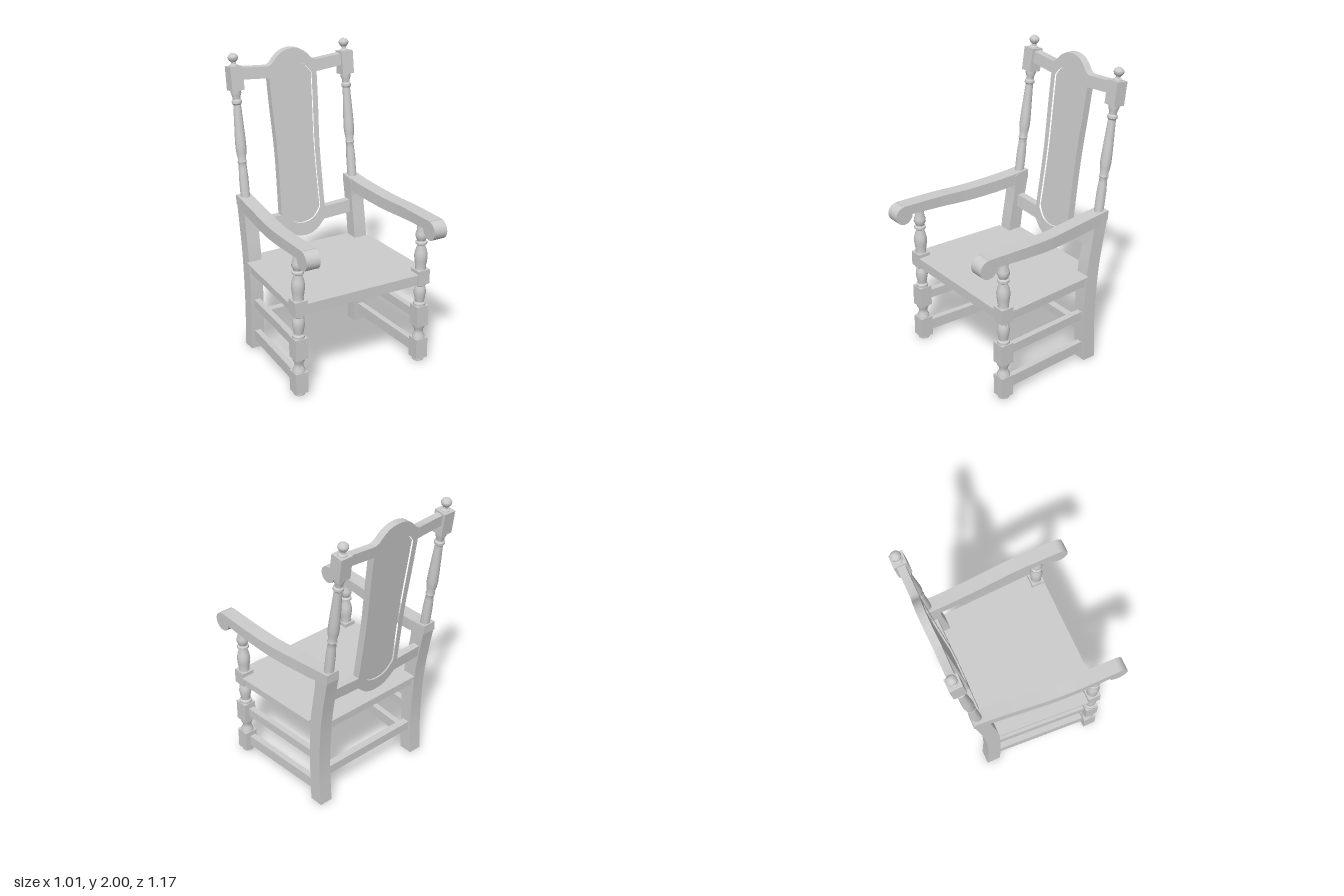
import * as THREE from 'three';
import { toCreasedNormals } from 'three/addons/utils/BufferGeometryUtils.js';

const LEAN = 0.135; // backward slope of the backrest

export function createModel() {
  const chair = new THREE.Group();
  chair.name = 'armchair';
  const material = new THREE.MeshStandardMaterial({ color: 0xcccccc });

  const add = (name, geometry, x = 0, y = 0, z = 0, parent = chair) => {
    const mesh = new THREE.Mesh(toCreasedNormals(geometry, 0.6), material);
    mesh.name = name;
    mesh.position.set(x, y, z);
    parent.add(mesh);
    return mesh;
  };
  const v2 = (list) => list.map(([x, y]) => new THREE.Vector2(x, y));
  const smooth = (list, n = 10) => new THREE.SplineCurve(v2(list)).getPoints(n);
  const lathe = (list) => new THREE.LatheGeometry(v2(list), 20);
  const mirrored = (half) => [...half, ...half.slice(1, -1).reverse().map((p) => new THREE.Vector2(-p.x, p.y))];
  const extrude = (shape, depth) =>
    new THREE.ExtrudeGeometry(shape, { depth, bevelEnabled: false }).translate(0, 0, -depth / 2);
  const moveVertices = (geometry, rule) => {
    const p = geometry.attributes.position;
    const v = new THREE.Vector3();
    for (let i = 0; i < p.count; i++) {
      rule(v.fromBufferAttribute(p, i));
      p.setXYZ(i, v.x, v.y, v.z);
    }
    return geometry;
  };
  // Rectangular bar running between two (x, z) points
  const bar = (name, a, b, y0, y1, thickness) => {
    const dx = b[0] - a[0], dz = b[1] - a[1];
    const mesh = add(name, new THREE.BoxGeometry(thickness, y1 - y0, Math.hypot(dx, dz)),
      (a[0] + b[0]) / 2, (y0 + y1) / 2, (a[1] + b[1]) / 2);
    mesh.rotation.y = Math.atan2(dx, dz);
  };

  // Rear leg outline in (z, y)
  const legShape = new THREE.Shape([
    ...smooth([[-0.395, 0], [-0.382, 0.3], [-0.4, 0.64], [-0.434, 0.87], [-0.465, 1.03]], 16),
    ...v2([[-0.46, 1.065], [-0.38, 1.06], [-0.35, 1.04]]),
    ...smooth([[-0.35, 0.95], [-0.338, 0.87], [-0.302, 0.64], [-0.29, 0.35], [-0.30, 0]], 16),
  ]);

  // Arm top and bottom heights along z
  const armTop = new THREE.SplineCurve(v2([[-0.465, 1.072], [-0.3, 1.058], [0, 1.045], [0.25, 1.052], [0.522, 1.06]]));
  const armBottom = new THREE.SplineCurve(v2([[-0.465, 1.01], [-0.3, 0.977], [0, 0.965], [0.25, 0.978], [0.522, 0.995]]));
  const armGeometry = () => moveVertices(new THREE.BoxGeometry(0.095, 1, 1, 1, 1, 24), (v) => {
    const p = (v.y > 0 ? armTop : armBottom).getPoint(v.z + 0.5);
    v.set(v.x + 0.408 + 0.045 * THREE.MathUtils.smoothstep(p.x, -0.47, 0.3), p.y, p.x);
  });

  const frontLegTurnings = [
    [[0.03, 0], [0.036, 0.004], [0.036, 0.018], [0.028, 0.03]],
    [[0.042, 0.17], [0.04, 0.185], [0.029, 0.205], [0.029, 0.23], [0.04, 0.25], [0.042, 0.266]],
    [[0.04, 0.41], [0.04, 0.425], [0.03, 0.435], [0.034, 0.46], [0.041, 0.5], [0.038, 0.53], [0.03, 0.55], [0.04, 0.558], [0.04, 0.57]],
    [[0.036, 0.67], [0.034, 0.685], [0.041, 0.73], [0.044, 0.765], [0.039, 0.795], [0.028, 0.83], [0.027, 0.84],
      [0.038, 0.848], [0.038, 0.862], [0.028, 0.87], [0.032, 0.882], [0.04, 0.9], [0.038, 0.92], [0.031, 0.94], [0.031, 1.0]],
  ];
  const postProfile = [[0.031, -0.03], [0.031, 0.13], [0.027, 0.2], [0.025, 0.225], [0.031, 0.24], [0.026, 0.255],
    [0.033, 0.3], [0.036, 0.34], [0.034, 0.41], [0.025, 0.615], [0.033, 0.625], [0.033, 0.64], [0.025, 0.65],
    [0.027, 0.67], [0.034, 0.69], [0.034, 0.72]];
  const finialProfile = [[0.03, 0.86], [0.028, 0.87], [0.016, 0.878], [0.015, 0.89], [0.027, 0.902], [0.033, 0.915],
    [0.033, 0.924], [0.026, 0.936], [0.014, 0.945], [0, 0.948]];

  for (const s of [1, -1]) {
    const side = s > 0 ? 'left' : 'right';

    add(side + 'RearLeg', extrude(legShape, 0.092).rotateY(-Math.PI / 2), s * 0.406);

    // Arm with rolled front end
    const arm = armGeometry();
    if (s < 0) arm.rotateY(Math.PI).scale(1, 1, 1);
    if (s < 0) moveVertices(arm, (v) => { v.z = -v.z; });
    if (s < 0) flip(arm);
    add(side + 'Arm', arm);
    add(side + 'ArmScroll', new THREE.CylinderGeometry(0.063, 0.063, 0.095, 20).rotateZ(Math.PI / 2), s * 0.453, 0.995, 0.522);

    // Front leg: square blocks joined by turnings
    for (const profile of frontLegTurnings) add(side + 'FrontLegTurning', lathe(profile), s * 0.45, 0, 0.378);
    for (const [y0, y1] of [[0.025, 0.17], [0.265, 0.41], [0.57, 0.67]]) {
      add(side + 'FrontLegBlock', new THREE.BoxGeometry(0.088, y1 - y0, 0.088), s * 0.45, (y0 + y1) / 2, 0.378);
    }

    // Leaning rear post with block and finial
    const post = new THREE.Group();
    post.name = side + 'RearPost';
    post.position.set(s * 0.407, 1.06, -0.425);
    post.rotation.x = -Math.atan(LEAN);
    chair.add(post);
    add('postTurning', lathe(postProfile), 0, 0, 0, post);
    add('postBlock', new THREE.BoxGeometry(0.086, 0.155, 0.085), 0, 0.787, 0, post);
    add('finial', lathe(finialProfile), 0, 0, 0, post);

    // Side rail and stretchers
    bar(side + 'SeatRail', [s * 0.455, 0.36], [s * 0.42, -0.32], 0.57, 0.636, 0.05);
    bar(side + 'UpperStretcher', [s * 0.44, 0.36], [s * 0.405, -0.32], 0.31, 0.37, 0.04);
    bar(side + 'LowerStretcher', [s * 0.44, 0.36], [s * 0.405, -0.32], 0.06, 0.135, 0.04);
  }

  // Cross rails and rear stretcher
  bar('frontSeatRail', [-0.43, 0.385], [0.43, 0.385], 0.57, 0.636, 0.05);
  bar('rearSeatRail', [-0.38, -0.35], [0.38, -0.35], 0.57, 0.636, 0.05);
  bar('rearStretcher', [-0.38, -0.34], [0.38, -0.34], 0.19, 0.25, 0.05);

  // Thin seat board notched around the legs
  const seatHalf = v2([[0, 0.422], [0.406, 0.422], [0.406, 0.33], [0.503, 0.33], [0.47, -0.302], [0.36, -0.302], [0.36, -0.4], [0, -0.4]]);
  add('seat', extrude(new THREE.Shape(mirrored(seatHalf)), 0.014).rotateX(Math.PI / 2), 0, 0.64);

  // Back frame: crest, stiles and lower rail around a recessed splat
  const frameHalf = [
    ...smooth([[0, 1.985], [0.06, 1.975], [0.11, 1.943], [0.145, 1.905], [0.175, 1.89]]),
    ...v2([[0.37, 1.905], [0.37, 1.83]]),
    ...smooth([[0.175, 1.813], [0.17, 1.62], [0.16, 1.38], [0.159, 1.2], [0.165, 0.895]]),
    ...v2([[0.37, 0.905], [0.37, 0.82], [0.155, 0.81]]),
    ...smooth([[0.145, 0.8], [0.1, 0.757], [0.05, 0.732], [0, 0.725]]),
  ];
  const splatHalf = [
    ...smooth([[0, 1.893], [0.05, 1.886], [0.1, 1.858], [0.137, 1.81]]),
    ...smooth([[0.136, 1.79], [0.13, 1.6], [0.122, 1.38], [0.122, 1.2], [0.13, 0.91]]),
    ...smooth([[0.125, 0.895], [0.09, 0.848], [0.05, 0.824], [0, 0.815]]),
  ];
  const leanBack = (g) => moveVertices(g, (v) => { v.z -= 0.425 + LEAN * (v.y - 1.06); });
  const frame = new THREE.Shape(mirrored(frameHalf));
  frame.holes.push(new THREE.Path(mirrored(splatHalf)));
  add('backFrame', leanBack(extrude(frame, 0.05)));
  add('backSplat', leanBack(extrude(new THREE.Shape(mirrored(splatHalf)), 0.028)));

  return chair;
}

// Reverses face winding after a mirror
function flip(geometry) {
  const a = geometry.index.array;
  for (let i = 0; i < a.length; i += 3) [a[i], a[i + 1]] = [a[i + 1], a[i]];
  geometry.computeVertexNormals();
}
